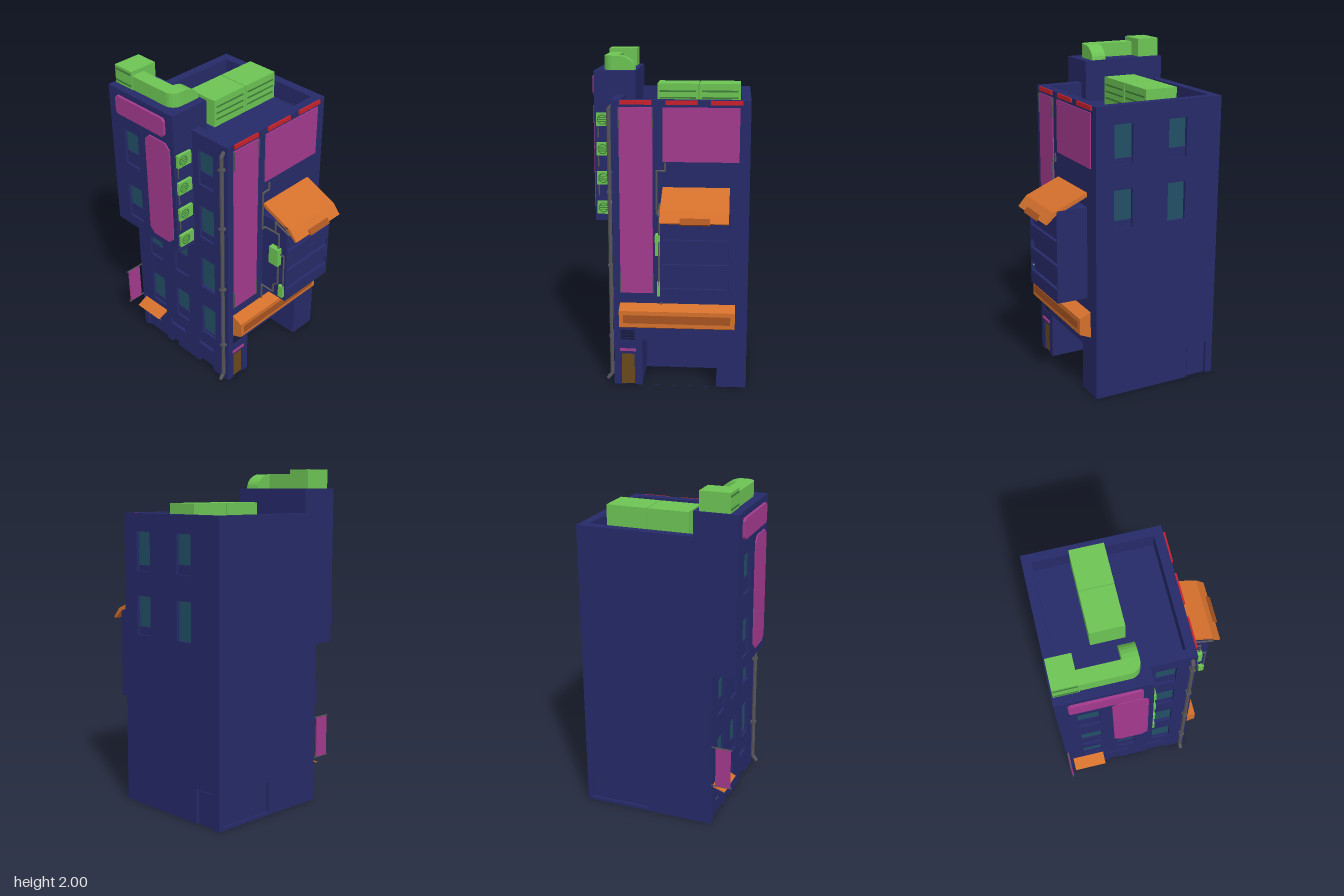
import * as THREE from 'three';

const mat = (color, side = THREE.FrontSide) => new THREE.MeshStandardMaterial({ color, side, flatShading: true });
const NAVY = mat(0x262a68, THREE.DoubleSide), PINK = mat(0xa43a8e), GREEN = mat(0x6cc454), LEAF = mat(0x3f8038);
const ORANGE = mat(0xd4702c, THREE.DoubleSide), RUST = mat(0xa85420), GLASS = mat(0x224f66), RED = mat(0xc8202c);
const BROWN = mat(0x684a1c), GREY = mat(0x55555a), DARK = mat(0x17193c);

function add(parent, name, geometry, material) {
  const mesh = new THREE.Mesh(geometry, material);
  mesh.name = name;
  parent.add(mesh);
  return mesh;
}

// Box given by its limits on each axis
function box(parent, name, material, x0, x1, y0, y1, z0, z1) {
  const g = new THREE.BoxGeometry(x1 - x0, y1 - y0, z1 - z0);
  g.translate((x0 + x1) / 2, (y0 + y1) / 2, (z0 + z1) / 2);
  return add(parent, name, g, material);
}

// Same box without some faces (0..5 = +x -x +y -y +z -z)
function openBox(parent, name, material, lim, missing) {
  const mesh = box(parent, name, material, ...lim);
  const idx = Array.from(mesh.geometry.index.array);
  mesh.geometry.setIndex(idx.filter((_, i) => !missing.includes(Math.floor(i / 6))));
  mesh.geometry.clearGroups();
  return mesh;
}

const shapeOf = pts => new THREE.Shape(pts.map(p => new THREE.Vector2(...p)));
const rect = (a, b, c, d) => [[a, c], [b, c], [b, d], [a, d]];
const bevelled = (a, b, c, d, k) =>
  [[a + k, c], [b - k, c], [b, c + k], [b, d - k], [b - k, d], [a + k, d], [a, d - k], [a, c + k]];

function extrude(parent, name, material, pts, depth) {
  return add(parent, name, new THREE.ExtrudeGeometry(shapeOf(pts), { depth, bevelEnabled: false }), material);
}

// Flat wall facing local +z, with recesses [u0, u1, v0, v1, depth]
function wall(parent, name, outline, holes) {
  const g = new THREE.Group();
  g.name = name;
  parent.add(g);
  const s = shapeOf(outline);
  for (const [a, b, c, d, depth] of holes) {
    s.holes.push(new THREE.Path(rect(a, b, c, d).reverse().map(p => new THREE.Vector2(...p))));
    openBox(g, 'recess', NAVY, [a, b, c, d, -depth, 0], c < 0.01 && c > 0 ? [3, 4] : [4]);
  }
  add(g, 'wallFace', new THREE.ShapeGeometry(s), NAVY);
  return g;
}

// Window recess at u, v; the glass covers the upper share, a blind the rest
const WIN = 0.118, WINH = 0.23, SILLS = [0.285, 0.66, 1.04, 1.415];
const winHole = ([u, row]) => [u, u + WIN, SILLS[row], SILLS[row] + WINH, 0.025];
function panes(g, list) {
  for (const [u, row, share] of list) {
    const v = SILLS[row], cut = v + WINH * (1 - share);
    box(g, 'windowGlass', GLASS, u, u + WIN, cut, v + WINH, -0.024, -0.02);
    if (share < 1) box(g, 'windowBlind', NAVY, u, u + WIN, v, cut, -0.024, -0.014);
  }
}

// Straight pipe runs with round joints
function pipe(parent, name, r, pts) {
  const g = new THREE.Group();
  g.name = name;
  parent.add(g);
  const P = pts.map(p => new THREE.Vector3(...p));
  P.forEach((p, i) => {
    add(g, 'joint', new THREE.SphereGeometry(r, 8, 6), GREY).position.copy(p);
    if (!i) return;
    const d = p.clone().sub(P[i - 1]);
    const m = add(g, 'run', new THREE.CylinderGeometry(r, r, d.length(), 8), GREY);
    m.position.copy(p).addScaledVector(d, -0.5);
    m.quaternion.setFromUnitVectors(new THREE.Vector3(0, 1, 0), d.normalize());
  });
}

function buildWalls(root) {
  // Front, L-shaped around the overhanging bay
  const fw = [[-0.43, 0, 0.85], [-0.2, 0, 0.7], [0.035, 0, 0.95], [-0.43, 1, 0.63], [-0.2, 1, 0.37], [0.035, 1, 1],
    [0.035, 2, 0.83], [0.035, 3, 0.63]];
  const front = wall(root, 'frontWall',
    [[-0.54, 0], [0.265, 0], [0.265, 1.75], [-0.01, 1.75], [-0.01, 0.97], [-0.54, 0.97]],
    [...fw.map(winHole), [-0.5, -0.31, 0.001, 0.21, 0.02], [-0.27, -0.13, 0.16, 0.205, 0.02], [0, 0.13, 0.16, 0.205, 0.02],
      [-0.265, -0.2, 0.001, 0.035, 0.03], [0, 0.13, 0.001, 0.035, 0.03]]);
  front.position.z = 0.325;
  panes(front, fw);
  for (const s of [-1, 1]) {
    const x = -0.405 + s * 0.047;
    box(front, 'doorLeaf', NAVY, x - 0.045, x + 0.045, 0.002, 0.205, -0.02, -0.012);
    add(front, 'doorKnob', new THREE.SphereGeometry(0.005, 8, 6), GREY).position.set(-0.405 + s * 0.012, 0.1, -0.01);
  }

  // Right side, u = -z
  const right = wall(root, 'rightWall', rect(-0.325, 0.48, 0, 1.75),
    [[-0.153, 0.3, 0.001, 0.29, 0.28], [-0.28, -0.2, 0.001, 0.2, 0.02], [-0.285, -0.2, 0.285, 0.355, 0.02]]);
  right.rotation.y = Math.PI / 2;
  right.position.x = 0.265;
  box(right, 'sideDoor', BROWN, -0.28, -0.2, 0.002, 0.2, -0.019, -0.01);
  for (let i = 0; i < 4; i++) box(right, 'ventSlat', DARK, -0.284, -0.201, 0.29 + i * 0.018, 0.299 + i * 0.018, -0.018, -0.002);
  box(right, 'doorLightSign', PINK, -0.29, -0.19, 0.22, 0.235, 0, 0.008);

  // Back, u = -x
  const bw = [[-0.153, 3, 0.85], [0.195, 3, 0.75], [-0.153, 2, 0.8], [0.195, 2, 1]];
  const back = wall(root, 'backWall', rect(-0.265, 0.54, 0, 1.75), [...bw.map(winHole), [0.355, 0.495, 0.001, 0.21, 0.02]]);
  back.rotation.y = Math.PI;
  back.position.z = -0.48;
  panes(back, bw);
  box(back, 'backDoor', NAVY, 0.365, 0.485, 0.002, 0.2, -0.019, -0.012);

  // Left, u = z
  const left = wall(root, 'leftWall', rect(-0.48, 0.325, 0, 1.75), [[-0.45, -0.08, 0.02, 0.2, 0.015]]);
  left.rotation.y = -Math.PI / 2;
  left.position.x = -0.54;

  // Sunken roof inside a parapet, v = -z
  const roof = wall(root, 'roof', rect(-0.54, 0.265, -0.325, 0.48), [[-0.485, 0.21, -0.27, 0.425, 0.11]]);
  roof.rotation.x = -Math.PI / 2;
  roof.position.y = 1.75;
}

function buildBay(root) {
  // Overhanging upper bay
  openBox(root, 'bayBody', NAVY, [-0.54, -0.01, 0.97, 1.89, 0.21, 0.463], [4]);
  const bw = [[-0.43, 2, 0.64], [-0.43, 3, 0.63]];
  const front = wall(root, 'bayFront', rect(-0.54, -0.01, 0.97, 1.89), bw.map(winHole));
  front.position.z = 0.463;
  panes(front, bw);
  extrude(front, 'headerSign', PINK, bevelled(-0.47, -0.07, 1.74, 1.855, 0.015), 0.016);
  extrude(front, 'tallSign', PINK, bevelled(-0.24, -0.04, 1.02, 1.7, 0.035), 0.008);

  // Fan units on the bay's side
  for (const y of [1.6, 1.42, 1.24, 1.055]) {
    box(root, 'fanUnit', GREEN, -0.01, 0.008, y - 0.04, y + 0.04, 0.35, 0.45);
    const ring = add(root, 'fanRing', new THREE.TorusGeometry(0.028, 0.003, 6, 20), LEAF);
    ring.rotation.y = Math.PI / 2;
    ring.position.set(0.008, y, 0.412);
    for (const k of [-1, 0, 1]) box(root, 'fanSlat', LEAF, 0.006, 0.01, y + k * 0.012 - 0.002, y + k * 0.012 + 0.002, 0.389, 0.435);
    if (y > 1.1) pipe(root, 'fanPipe', 0.004, [[-0.005, y - 0.04, 0.44], [-0.005, y - 0.11, 0.44]]);
  }

  // Rooftop duct: blower box, run with rounded corner, end curving down
  box(root, 'ductBlower', GREEN, -0.53, -0.39, 1.89, 2, 0.24, 0.415);
  for (const y of [1.905, 1.975]) box(root, 'blowerSlat', LEAF, -0.525, -0.395, y, y + 0.01, 0.41, 0.418);
  const arc = Array.from({ length: 7 }, (_, i) => i / 6 * Math.PI / 2);
  const run = extrude(root, 'ductRun', GREEN, [[-0.39, -0.41],
    ...arc.map(a => [-0.12 + 0.06 * Math.sin(a), -0.35 - 0.06 * Math.cos(a)]),
    [-0.06, -0.325], [-0.39, -0.325]], 0.085);
  run.rotation.x = -Math.PI / 2;
  run.position.y = 1.89;
  const end = extrude(root, 'ductEnd', GREEN, [[-0.325, 0],
    ...arc.map(a => [-0.22 - 0.105 * (1 - Math.cos(a)), 0.085 * Math.sin(a)])], 0.09);
  end.rotation.y = Math.PI / 2;
  end.position.set(-0.15, 1.89, 0);
}

function buildRightSide(root) {
  const X = 0.265;
  // Sign panels with edge clips, and lamps above
  box(root, 'tallSidePanel', PINK, X, X + 0.007, 0.595, 1.71, 0.085, 0.28);
  box(root, 'wideSidePanel', PINK, X, X + 0.007, 1.395, 1.71, -0.418, 0.026);
  for (const z of [0.085, 0.28]) for (const y of [0.595, 1.59])
    box(root, 'panelClip', GREY, X, X + 0.011, y, y + 0.12, z - 0.003, z + 0.003);
  for (const z of [0.09, -0.175, -0.434]) box(root, 'redLamp', RED, X, X + 0.01, 1.725, 1.75, z, z + 0.183);

  // Projecting slatted room
  openBox(root, 'sideRoom', NAVY, [X, 0.455, 0.605, 1.16, -0.365, 0.026], [0, 1]);
  const face = wall(root, 'sideRoomFront', rect(-0.026, 0.365, 0.605, 1.16),
    [0.685, 0.83, 0.976].map(y => [-0.015, 0.36, y, y + 0.055, 0.02]));
  face.rotation.y = Math.PI / 2;
  face.position.x = 0.455;

  // Folded awning over the room, with a raised hatch
  const awning = extrude(root, 'sideAwning', ORANGE,
    [[X, 1.245], [X, 1.22], [0.46, 1.135], [0.515, 1.087], [0.527, 1.095], [0.475, 1.155]], 0.391);
  awning.position.z = -0.365;
  const hatch = extrude(root, 'awningFlap', RUST, [[0.508, 1.11], [0.53, 1.083], [0.54, 1.092], [0.517, 1.122]], 0.17);
  hatch.position.z = -0.26;

  // Long canopy sign above the garage
  const canopy = extrude(root, 'canopySign', ORANGE, [[X, 0.37], [0.335, 0.4], [0.335, 0.5], [X, 0.53]], 0.692);
  canopy.position.z = -0.407;
  box(root, 'canopyInset', RUST, 0.33, 0.338, 0.425, 0.475, -0.38, 0.26);

  // Pipework and meter boxes beside the room
  pipe(root, 'upperPipe', 0.006, [[0.29, 1.39, 0.01], [0.29, 1.345, 0.01], [0.29, 1.345, 0.06], [0.29, 1.09, 0.06],
    [0.29, 1.09, 0.035], [0.4, 1.09, 0.035], [0.4, 0.72, 0.035], [0.365, 0.69, 0.035], [0.365, 0.635, 0.035], [0.27, 0.635, 0.035], [0.27, 0.53, 0.035]]);
  pipe(root, 'awningPipe', 0.006, [[0.37, 1.09, 0.035], [0.37, 1.165, 0.035], [0.475, 1.125, 0.035]]);
  pipe(root, 'meterPipe', 0.005, [[0.4, 0.95, 0.035], [0.443, 0.95, 0.035], [0.443, 0.7, 0.035]]);
  box(root, 'meterBox', GREEN, 0.345, 0.415, 0.87, 0.99, 0.026, 0.06);
  box(root, 'smallMeterBox', GREEN, 0.413, 0.447, 0.635, 0.72, 0.015, 0.045);
}

export function createModel() {
  const root = new THREE.Group();
  root.name = 'building';
  buildWalls(root);
  buildBay(root);
  buildRightSide(root);

  // Roof units
  for (const z of [-0.42, -0.165]) {
    box(root, 'roofUnit', GREEN, -0.275, -0.075, 1.64, 1.81, z, z + 0.25);
    for (let i = 0; i < 3; i++) box(root, 'roofUnitSlat', LEAF, -0.077, -0.073, 1.68 + i * 0.04, 1.69 + i * 0.04, z + 0.015, z + 0.235);
  }

  // Door awning
  const awning = extrude(root, 'doorAwning', ORANGE, [[-0.325, 0.25], [-0.4, 0.215], [-0.39, 0.213], [-0.325, 0.235]], 0.205);
  awning.rotation.y = Math.PI / 2;
  awning.position.x = -0.51;

  // Blade sign with brackets at the left front corner
  box(root, 'bladeSign', PINK, -0.54, -0.53, 0.265, 0.51, 0.35, 0.44);
  for (const y of [0.26, 0.51]) box(root, 'bladeBracket', GREY, -0.538, -0.532, y, y + 0.006, 0.325, 0.45);

  // Downpipe at the right front corner
  pipe(root, 'downpipe', 0.012, [[0.237, 1.71, 0.327], [0.237, 1.69, 0.342], [0.237, 0.06, 0.342], [0.237, 0.03, 0.365]]);
  for (const y of [0.3, 0.75, 1.2, 1.6]) box(root, 'pipeClamp', GREY, 0.222, 0.252, y, y + 0.015, 0.325, 0.356);
  return root;
}
